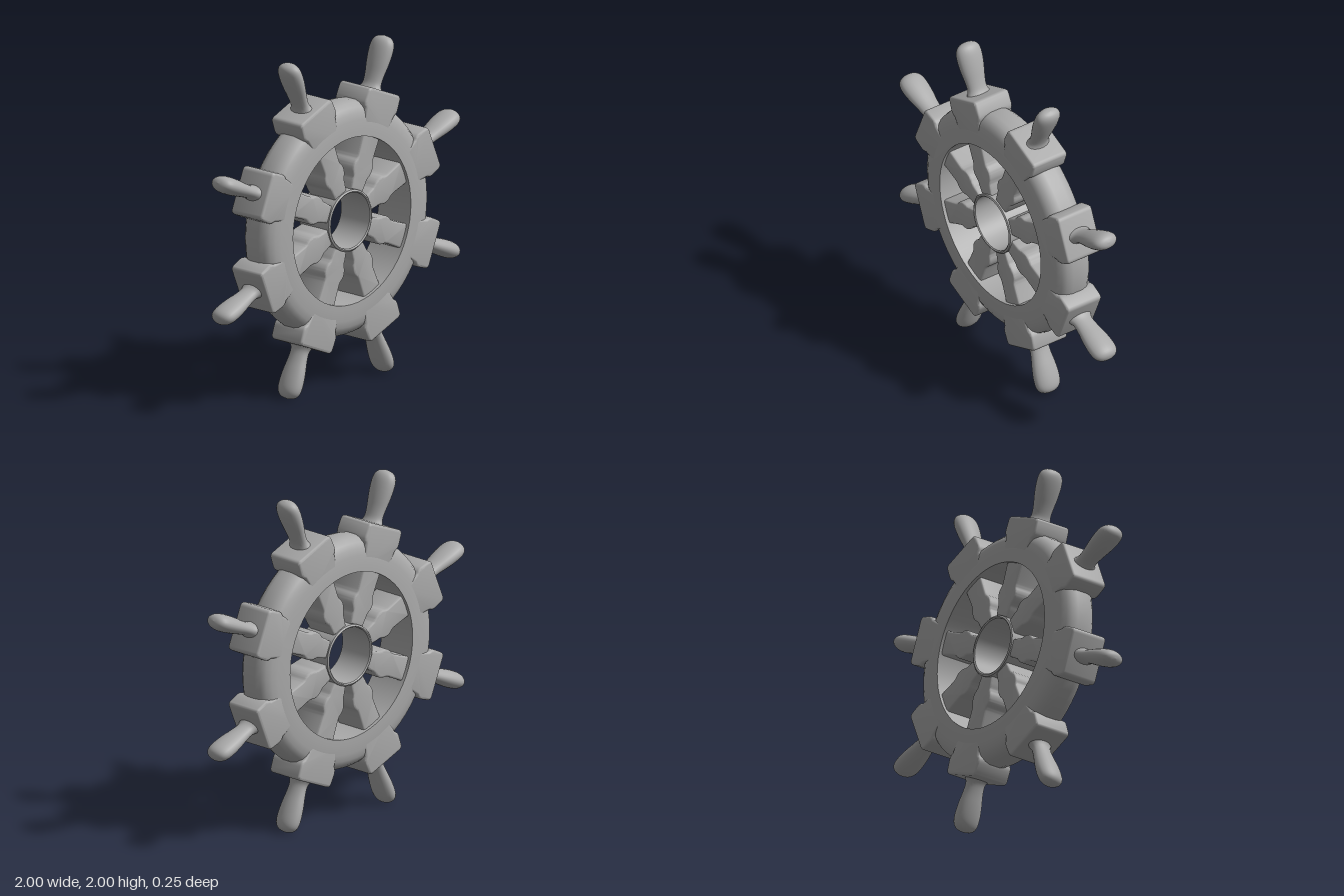
import * as THREE from 'three';
import { toCreasedNormals } from 'three/addons/utils/BufferGeometryUtils.js';

const COUNT = 8;
const CENTER_Y = 1;

// Lathe a [radius, z] profile around the wheel axis (z)
function ringGeometry(profile, segments) {
  const pts = profile.map(([r, z]) => new THREE.Vector2(r, z));
  const g = new THREE.LatheGeometry(pts, segments).rotateX(Math.PI / 2);
  return toCreasedNormals(g, 0.6);
}

// Extrude a shape symmetrically in z with a soft bevelled edge
function slab(shape, halfDepth, bevel) {
  const depth = 2 * (halfDepth - bevel);
  const g = new THREE.ExtrudeGeometry(shape, {
    depth, bevelEnabled: true, bevelThickness: bevel, bevelSize: bevel,
    bevelOffset: -bevel, bevelSegments: 3, curveSegments: 5,
  });
  g.translate(0, 0, -depth / 2);
  return toCreasedNormals(g, 0.6);
}

// Flared block pointing along +y, with rounded outer corners
function blockGeometry() {
  const s = new THREE.Shape();
  s.moveTo(-0.1, 0.52);
  s.lineTo(0.1, 0.52);
  s.lineTo(0.128, 0.64);
  s.quadraticCurveTo(0.15, 0.66, 0.146, 0.69);
  s.lineTo(0.143, 0.74);
  s.quadraticCurveTo(0.14, 0.765, 0.115, 0.765);
  s.lineTo(-0.115, 0.765);
  s.quadraticCurveTo(-0.14, 0.765, -0.143, 0.74);
  s.lineTo(-0.146, 0.69);
  s.quadraticCurveTo(-0.15, 0.66, -0.128, 0.64);
  return slab(s, 0.12, 0.014);
}

// Wavy spoke pointing along +y; [half width, distance from axis]
function spokeGeometry() {
  const side = [
    [0.05, 0.175], [0.058, 0.22], [0.062, 0.25], [0.078, 0.28],
    [0.084, 0.31], [0.08, 0.335], [0.069, 0.36], [0.068, 0.4], [0.073, 0.51],
  ];
  const right = new THREE.SplineCurve(side.map(([x, y]) => new THREE.Vector2(x, y))).getPoints(28);
  const left = right.map((p) => new THREE.Vector2(-p.x, p.y)).reverse();
  return slab(new THREE.Shape([...right, ...left]), 0.105, 0.012);
}

// Club-shaped grip, oval in section
function handleGeometry() {
  const profile = [
    [0.085, 0.75], [0.07, 0.772], [0.062, 0.8], [0.066, 0.85], [0.076, 0.91],
    [0.082, 0.97], [0.08, 1.02], [0.066, 1.052], [0.038, 1.07], [0, 1.076],
  ].map(([r, y]) => new THREE.Vector2(r, y));
  const pts = new THREE.SplineCurve(profile).getPoints(27);
  pts[pts.length - 1].x = 0;
  return new THREE.LatheGeometry(pts, 24).scale(0.62, 1, 1);
}

export function createModel() {
  const gray = new THREE.MeshStandardMaterial({ color: 0xaaaaaa });
  gray.name = 'gray';

  const wheel = new THREE.Group();
  wheel.name = 'wheel';
  wheel.position.y = CENTER_Y;

  const add = (parent, name, geometry) => {
    const m = new THREE.Mesh(geometry, gray);
    m.name = name;
    parent.add(m);
  };

  // Rim: flat faces, rounded outer shoulders, open inside
  const outer = [
    [0.495, 0.125], [0.53, 0.124], [0.59, 0.119], [0.63, 0.112],
    [0.662, 0.095], [0.683, 0.07], [0.693, 0.035],
  ];
  const back = outer.map(([r, z]) => [r, -z]);
  add(wheel, 'rim', ringGeometry([[0.495, 0.125], ...back, ...outer.slice().reverse()], 64));

  // Hub: short open tube
  add(wheel, 'hub', ringGeometry([
    [0.165, 0.112], [0.165, -0.112], [0.172, -0.118], [0.182, -0.112],
    [0.182, 0.112], [0.172, 0.118], [0.165, 0.112],
  ], 48));

  // Repeated arms: spoke, rim block and handle
  const spoke = spokeGeometry();
  const block = blockGeometry();
  const handle = handleGeometry();
  for (let i = 0; i < COUNT; i++) {
    const arm = new THREE.Group();
    arm.name = 'arm' + (i + 1);
    arm.rotation.z = ((i + 0.5) / COUNT) * Math.PI * 2;
    add(arm, 'spoke', spoke);
    add(arm, 'rimBlock', block);
    add(arm, 'handle', handle);
    wheel.add(arm);
  }

  const model = new THREE.Group();
  model.name = 'shipWheel';
  model.add(wheel);
  return model;
}
